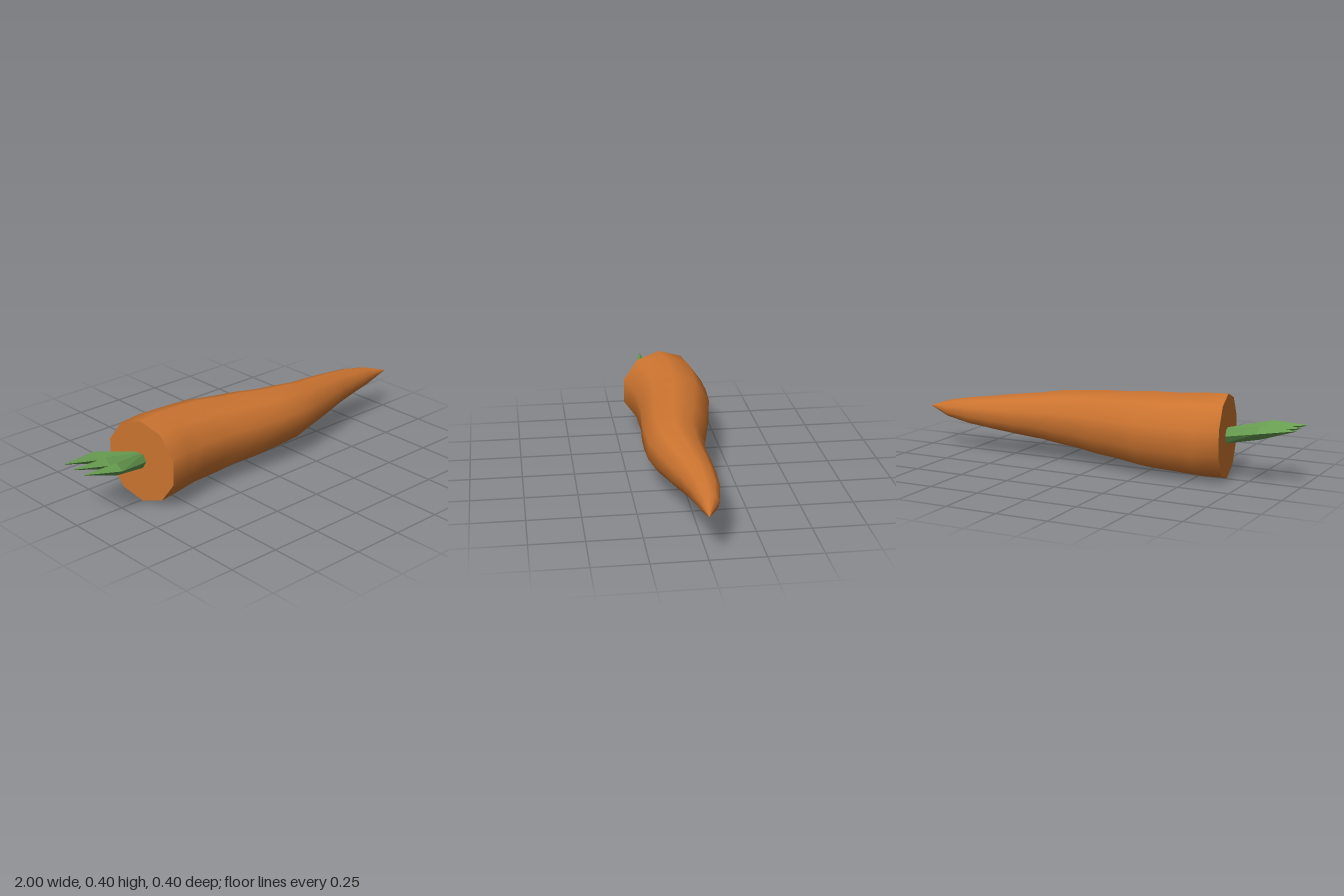
import * as THREE from 'three';

// Skin a row of upright oval sections [x, y, z, halfHeight, halfWidth], running toward +x
function loft(sections, sides) {
  const pos = [], index = [];
  const last = sections.length - 1;
  sections.forEach(([x, y, z, h, w], i) => {
    const a = sections[Math.max(i - 1, 0)], b = sections[Math.min(i + 1, last)];
    const t = new THREE.Vector2(b[0] - a[0], b[2] - a[2]).normalize();
    for (let j = 0; j < sides; j++) {
      const ang = (j / sides) * Math.PI * 2;
      const s = Math.sin(ang) * w;
      pos.push(x - t.y * s, y + Math.cos(ang) * h, z + t.x * s);
      if (i < last) {
        const p = i * sides + j, q = i * sides + ((j + 1) % sides);
        index.push(p, q, p + sides, q, q + sides, p + sides);
      }
    }
  });
  const g = new THREE.BufferGeometry();
  g.setAttribute('position', new THREE.Float32BufferAttribute(pos, 3));
  g.setIndex(index);
  g.computeVertexNormals();
  return g;
}

// Flat fan closing the first ring of a loft
function endCap(geometry, sides) {
  const src = geometry.attributes.position;
  const g = new THREE.BufferGeometry();
  g.setAttribute('position', new THREE.Float32BufferAttribute(Array.from(src.array.slice(0, sides * 3)), 3));
  const index = [];
  for (let j = 1; j < sides - 1; j++) index.push(0, j + 1, j);
  g.setIndex(index);
  g.computeVertexNormals();
  return g;
}

export function createModel() {
  const group = new THREE.Group();
  const orange = new THREE.MeshStandardMaterial({ color: 0xcc7430 });
  orange.name = 'carrotOrange';
  const green = new THREE.MeshStandardMaterial({ color: 0x679c50 });
  green.name = 'leafGreen';

  const add = (name, geometry, material) => {
    const mesh = new THREE.Mesh(geometry, material);
    mesh.name = name;
    group.add(mesh);
  };

  // Wavy tapering root: x, centre z, radius
  const root = [
    [-0.636, 0.01, 0.2], [-0.52, -0.01, 0.199], [-0.4, -0.021, 0.19], [-0.26, -0.018, 0.185],
    [-0.14, -0.004, 0.171], [0, 0.016, 0.162], [0.12, 0.032, 0.148], [0.24, 0.037, 0.138],
    [0.36, 0.025, 0.118], [0.49, 0.006, 0.103], [0.62, -0.013, 0.085], [0.74, -0.022, 0.069],
    [0.87, -0.018, 0.045], [1, 0, 0.001],
  ].map(([x, z, r]) => [x, 0.2, z, r, r]);
  const body = loft(root, 10);
  add('root', body, orange);
  add('rootTopFace', endCap(body, 10), orange);

  // Three faceted leaves fanning out of the flat end
  [['leafBack', -1], ['leafMiddle', 0], ['leafFront', 1]].forEach(([name, side]) => {
    const leaf = loft([
      [-1, 0.275, side * 0.073, 0.001, 0.001],
      [-0.83, 0.251, side * 0.081 + 0.002, 0.03, 0.034],
      [-0.62, 0.202, side * 0.012, 0.036, 0.022],
    ], 4).toNonIndexed();
    leaf.computeVertexNormals();
    add(name, leaf, green);
  });

  return group;
}
